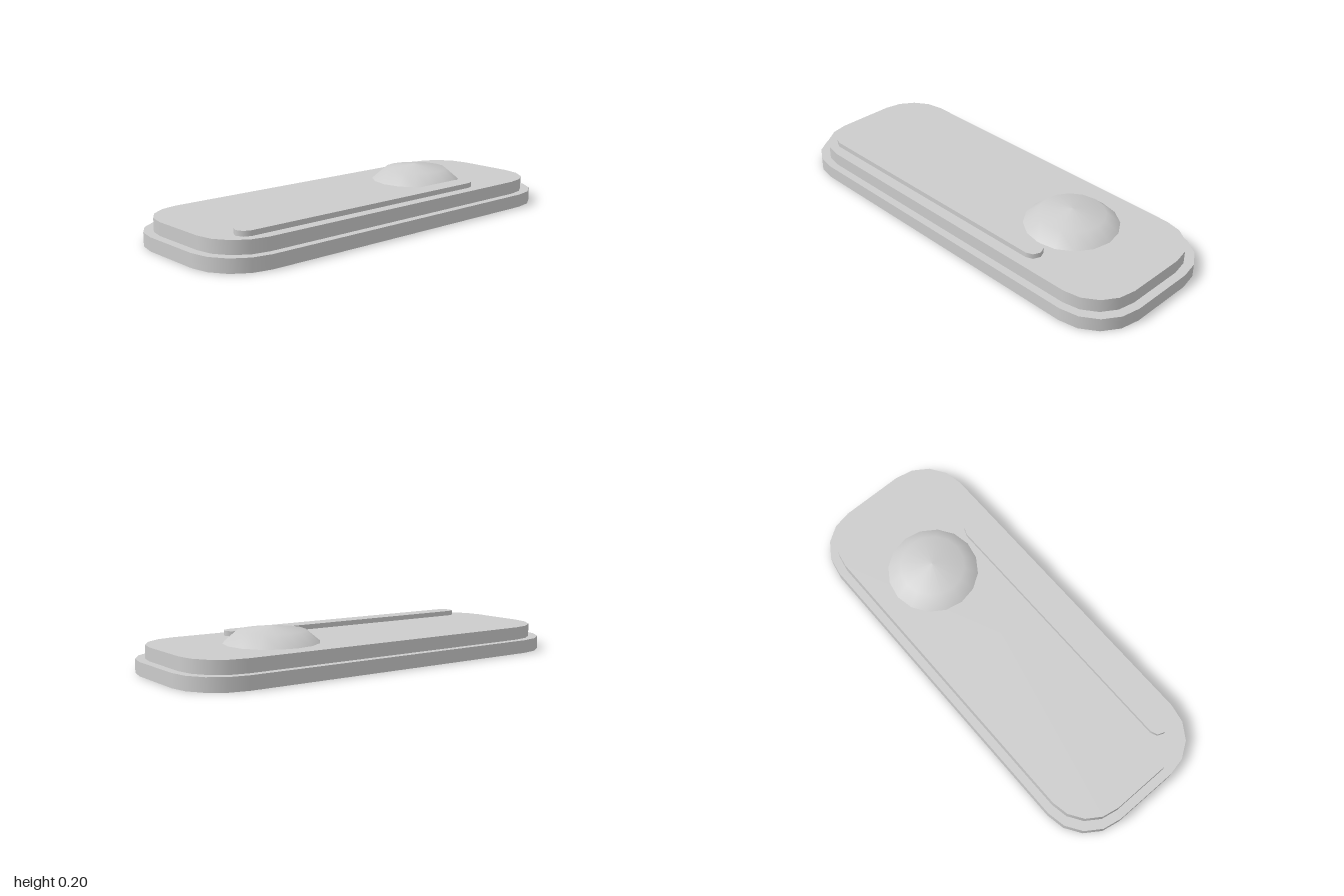
import * as THREE from 'three';

// Rounded shell lying flat: smooth side wall and a top, open underneath
function shell(name, width, depth, radius, y0, y1, steps, material) {
  const cx = width / 2 - radius, cz = depth / 2 - radius;
  const corners = [[cx, -cz], [-cx, -cz], [-cx, cz], [cx, cz]];
  const positions = [], normals = [], index = [];
  const count = 4 * (steps + 1);

  // Three rings: wall bottom, wall top, edge of the top face
  for (let ring = 0; ring < 3; ring++) {
    corners.forEach(([x, z], corner) => {
      for (let i = 0; i <= steps; i++) {
        const a = (corner + i / steps) * Math.PI / 2;
        const nx = Math.cos(a), nz = -Math.sin(a);
        positions.push(x + radius * nx, ring === 0 ? y0 : y1, z + radius * nz);
        normals.push(...(ring === 2 ? [0, 1, 0] : [nx, 0, nz]));
      }
    });
  }
  positions.push(0, y1, 0);
  normals.push(0, 1, 0);

  for (let i = 0; i < count; i++) {
    const j = (i + 1) % count;
    index.push(i, j, count + j, i, count + j, count + i);
    index.push(3 * count, 2 * count + i, 2 * count + j);
  }

  const geometry = new THREE.BufferGeometry();
  geometry.setAttribute('position', new THREE.Float32BufferAttribute(positions, 3));
  geometry.setAttribute('normal', new THREE.Float32BufferAttribute(normals, 3));
  geometry.setIndex(index);
  const mesh = new THREE.Mesh(geometry, material);
  mesh.name = name;
  return mesh;
}

export function createModel() {
  const group = new THREE.Group();
  group.name = 'buttonPlate';
  const grey = new THREE.MeshStandardMaterial({ color: 0xcccccc, side: THREE.DoubleSide });
  grey.name = 'light grey';

  // Two stacked plates, hollow underneath
  group.add(shell('basePlate', 2, 0.768, 0.23, 0, 0.0625, 4, grey));
  group.add(shell('upperPlate', 1.92, 0.692, 0.205, 0.0625, 0.1235, 4, grey));

  // Long raised bar along the front edge
  const bar = shell('raisedBar', 1.386, 0.092, 0.0455, 0.1235, 0.147, 2, grey);
  bar.position.set(-0.155, 0, 0.246);
  group.add(bar);

  // Shallow dome
  const profile = [[0.217, 0], [0.153, 0.0545], [0, 0.0765]].map(([r, y]) => new THREE.Vector2(r, y));
  const dome = new THREE.Mesh(new THREE.LatheGeometry(profile, 16), grey);
  dome.name = 'dome';
  dome.position.set(0.46, 0.1235, -0.039);
  group.add(dome);

  return group;
}
